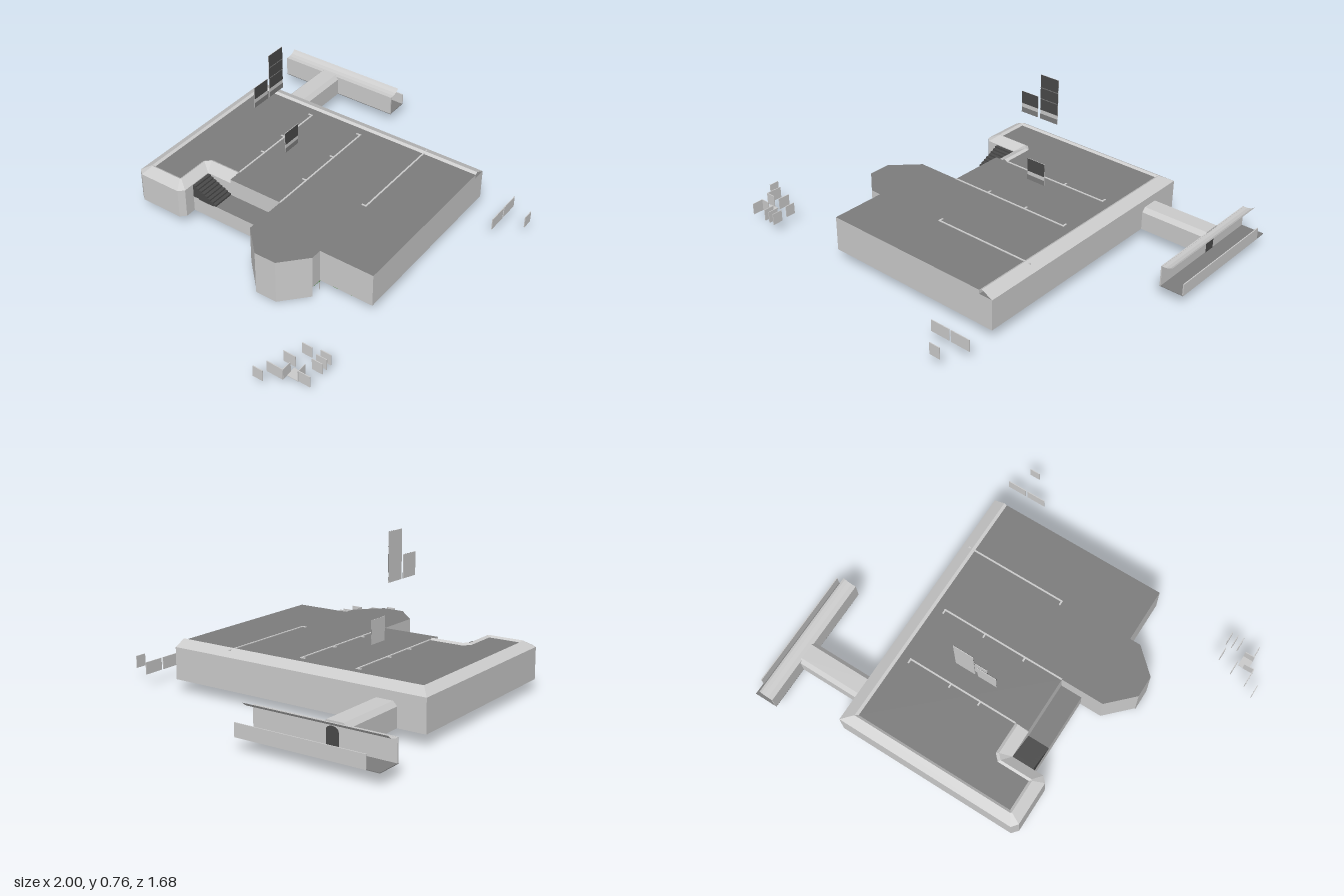
import * as THREE from 'three';

const mat = (color, side = THREE.FrontSide) =>
  new THREE.MeshStandardMaterial({ color, side, flatShading: true });

export function createModel() {
  const model = new THREE.Group();
  const light = mat(0xcccccc), lightThin = mat(0xcccccc, THREE.DoubleSide);
  const deck = mat(0x7d7d7d), dark = mat(0x4a4a4a);
  const green = mat(0x48933e, THREE.DoubleSide);

  const add = (name, geometry, material, parent = model) => {
    const mesh = new THREE.Mesh(geometry, material);
    mesh.name = name;
    parent.add(mesh);
    return mesh;
  };
  // Box from its lower and upper limits
  const box = (name, [x0, x1], [y0, y1], [z0, z1], material = light, parent = model) => {
    const g = new THREE.BoxGeometry(x1 - x0, y1 - y0, z1 - z0);
    g.translate((x0 + x1) / 2, (y0 + y1) / 2, (z0 + z1) / 2);
    return add(name, g, material, parent);
  };
  // Upright prism from an [x, z] outline
  const prism = (name, outline, y0, y1, materials) => {
    const shape = new THREE.Shape(outline.map(([x, z]) => new THREE.Vector2(x, -z)));
    const g = new THREE.ExtrudeGeometry(shape, { depth: y1 - y0, bevelEnabled: false });
    g.rotateX(-Math.PI / 2).translate(0, y0, 0);
    return add(name, g, materials);
  };
  // Surface joining rows of points
  const loft = (name, rows, material) => {
    const n = rows[0].length, index = [];
    for (let i = 0; i < rows.length - 1; i++)
      for (let j = 0; j < n - 1; j++) {
        const a = i * n + j, b = a + n;
        index.push(a, b, a + 1, b, b + 1, a + 1);
      }
    const g = new THREE.BufferGeometry();
    g.setAttribute('position', new THREE.Float32BufferAttribute(rows.flat(2), 3));
    g.setIndex(index);
    g.computeVertexNormals();
    return add(name, g, material);
  };

  // Main building: walls, with dark floor and roof
  const balconySide = [[-0.22, -0.06], [-0.44, -0.06], [-0.56, 0.06], [-0.56, 0.17],
    [-0.44, 0.28], [-0.385, 0.28], [-0.385, 0.555]];
  const rim = [[0.545, 0.555], [0.545, -0.76], [-0.385, -0.76], [-0.41, -0.73],
    [-0.41, -0.51], [-0.385, -0.485], [-0.22, -0.485], [-0.22, -0.485], [-0.22, -0.35]];
  const inner = [[0.475, 0.555], [0.475, -0.7], [-0.345, -0.7], [-0.345, -0.7],
    [-0.345, -0.545], [-0.345, -0.545], [-0.18, -0.545], [-0.15, -0.515], [-0.15, -0.35]];
  const unique = pts => pts.filter((p, i) => !i || p[0] !== pts[i - 1][0] || p[1] !== pts[i - 1][1]);
  prism('mainWalls', [...unique(rim), ...balconySide], 0.055, 0.205, [deck, light]);
  prism('roof', [...unique(inner), [-0.22, -0.35], ...balconySide], 0.205, 0.225, [deck, light]);

  // Sloping roof edge
  const edgeRow = (t, y) => rim.map(([x, z], i) =>
    [x + (inner[i][0] - x) * t, y, z + (inner[i][1] - z) * t]);
  loft('roofEdge', [edgeRow(0, 0.205), edgeRow(0.8, 0.233), edgeRow(1, 0.225)], lightThin);

  // Partition lines on the roof
  for (const [z, x0, x1, stubs] of [[-0.35, -0.15, 0.43, [0.04, 0.2, 0.425]],
    [-0.06, -0.22, 0.43, [-0.02, 0.2, 0.425]], [0.27, -0.02, 0.51, [-0.016]]]) {
    box('partition', [x0, x1], [0.22, 0.228], [z - 0.004, z + 0.004]);
    for (const x of stubs)
      box('partitionStub', [x - 0.004, x + 0.004], [0.22, 0.228], [z - 0.022, z + 0.004]);
  }

  // Low service wing with stairs up to the cargo end
  box('serviceWing', [-0.33, -0.22], [0.055, 0.135], [-0.485, -0.06],
    [light, light, deck, deck, light, light]);
  for (let i = 0; i < 8; i++)
    box('stairStep', [-0.33, -0.22], [0.13, 0.145 + i * 0.008],
      [-0.485, -0.35 - i * 0.017], dark);

  // Skirt below the balcony and green ground beneath it
  const skirt = (name, pts, y) =>
    loft(name, [pts.map(([x, z]) => [x, 0.056, z]), pts.map(([x, z]) => [x, y, z])], lightThin);
  skirt('balconySkirt', [[-0.44, 0.28], [-0.56, 0.17], [-0.56, 0.06]], 0);
  skirt('shallowSkirt', [[-0.56, 0.06], [-0.44, -0.06], [-0.27, -0.06]], 0.03);
  skirt('skirtPost', [[-0.385, 0.28], [-0.38, 0.27]], 0);
  prism('greenGround', [[-0.1, 0.45], [-0.1, 0.05], [-0.2, -0.055], [-0.44, -0.055],
    [-0.555, 0.06], [-0.555, 0.17], [-0.44, 0.275], [-0.38, 0.28], [-0.38, 0.45]],
    0.049, 0.0545, green);

  // Corridor to the platform, with bevelled roof
  const section = [[-0.625, 0.055], [-0.625, 0.145], [-0.605, 0.165],
    [-0.525, 0.165], [-0.505, 0.145], [-0.505, 0.055]];
  const corridor = new THREE.ExtrudeGeometry(
    new THREE.Shape(section.map(([z, y]) => new THREE.Vector2(-z, y))),
    { depth: 0.335, bevelEnabled: false });
  corridor.rotateY(Math.PI / 2).translate(0.545, 0, 0);
  add('corridor', corridor, light);

  // Platform: floor, back wall, arched door, fence and curved canopy
  box('platformFloor', [0.875, 0.995], [0.055, 0.058], [-0.845, -0.17], deck);
  box('platformWall', [0.875, 0.881], [0.055, 0.158], [-0.845, -0.17]);
  box('platformFence', [0.991, 0.996], [0.055, 0.115], [-0.785, -0.17]);
  const arch = new THREE.Shape();
  arch.moveTo(-0.03, 0.058);
  arch.lineTo(0.03, 0.058);
  arch.lineTo(0.03, 0.125);
  arch.absellipse(0, 0.125, 0.03, 0.02, 0, Math.PI, false);
  const door = add('archedDoor', new THREE.ShapeGeometry(arch), dark);
  door.rotation.y = Math.PI / 2;
  door.position.set(0.883, 0, -0.555);
  const curve = [[0.875, 0.157], [0.9, 0.158], [0.92, 0.163], [0.935, 0.172], [0.942, 0.18]];
  loft('canopy', [-0.17, -0.845].map(z => curve.map(([x, y]) => [x, y, z])), lightThin);

  // Floating display boards: dark striped front, light back
  for (const [x0, x1, y0, y1, z] of [[0.065, 0.165, 0.54, 0.76, -0.33],
    [-0.045, 0.05, 0.54, 0.645, -0.33], [0.065, 0.165, 0.255, 0.365, -0.245]]) {
    const board = new THREE.Group();
    board.name = 'displayBoard';
    model.add(board);
    box('boardBack', [x0, x1], [y0, y1], [z - 0.002, z + 0.001], light, board);
    box('boardFront', [x0, x1], [y0 + 0.045, y1], [z + 0.001, z + 0.002], dark, board);
    box('boardFoot', [x0, x1], [y0, y0 + 0.025], [z + 0.001, z + 0.002], deck, board);
    for (let y = y0 + 0.1; y < y1 - 0.02; y += 0.055)
      box('boardStripe', [x0, x1], [y, y + 0.003], [z + 0.002, z + 0.003], deck, board);
  }

  // Small loose wall panels standing around the building
  const y = [0.055, 0.112], t = 0.002;
  for (const [x0, x1, z] of [[0.36, 0.46, 0.72], [0.47, 0.57, 0.72], [0.46, 0.515, 0.835],
    [-0.945, -0.895, 0.5], [-0.92, -0.87, 0.555]])
    box('loosePanel', [x0, x1], y, [z - t, z + t]);
  for (const [x, z0, z1] of [[-0.998, 0.39, 0.44], [-0.945, 0.42, 0.5], [-0.86, 0.44, 0.5],
    [-0.78, 0.475, 0.525], [-0.915, 0.555, 0.612], [-0.83, 0.56, 0.612],
    [-0.8, 0.56, 0.612], [-0.77, 0.56, 0.612]])
    box('loosePanel', [x - t, x + t], y, [z0, z1]);
  box('looseFloor', [-0.92, -0.87], [0.055, 0.058], [0.5, 0.555]);

  return model;
}
